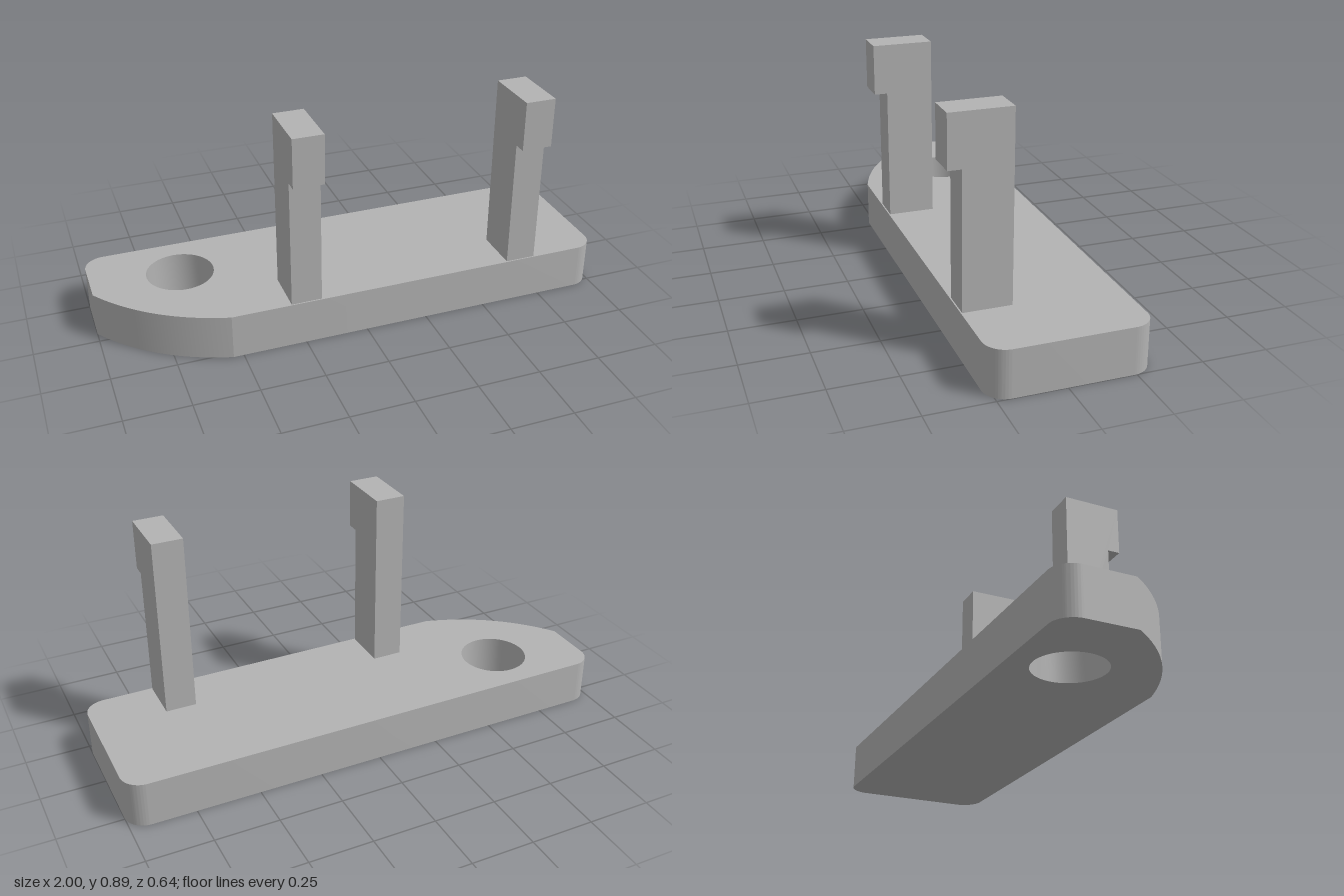
import * as THREE from 'three';
import { toCreasedNormals } from 'three/addons/utils/BufferGeometryUtils.js';

const BASE_HEIGHT = 0.18;

// Plate outline drawn with shape y = -z, then laid flat
function makeBase(material) {
  const back = 0.32, front = -0.275, r = 0.08;
  const s = new THREE.Shape();
  s.moveTo(-0.54, front);
  s.lineTo(1 - r, front);
  s.absarc(1 - r, front + r, r, -Math.PI / 2, 0);
  s.lineTo(1, back - r);
  s.absarc(1 - r, back - r, r, 0, Math.PI / 2);
  s.lineTo(-1 + r, back);
  s.absarc(-1 + r, back - r, r, Math.PI / 2, Math.PI);
  s.lineTo(-1, 0.05);
  // Bowed front corner
  s.quadraticCurveTo(-0.83, -0.196, -0.54, front);

  const hole = new THREE.Path();
  hole.absarc(-0.65, 0.102, 0.133, 0, Math.PI * 2, true);
  s.holes.push(hole);

  const geo = new THREE.ExtrudeGeometry(s, { depth: BASE_HEIGHT, bevelEnabled: false, curveSegments: 24 });
  geo.rotateX(-Math.PI / 2);
  const mesh = new THREE.Mesh(toCreasedNormals(geo, 0.2), material);
  mesh.name = 'basePlate';
  return mesh;
}

// Upright post with a forward hook, drawn as a side profile (z, y)
function makeClipGeometry() {
  const width = 0.12;
  const profile = [[0.088, BASE_HEIGHT], [0.27, BASE_HEIGHT], [0.27, 0.695], [0.32, 0.695], [0.32, 0.89], [0.088, 0.89]];
  const s = new THREE.Shape(profile.map(([z, y]) => new THREE.Vector2(z, y)));
  const geo = new THREE.ExtrudeGeometry(s, { depth: width, bevelEnabled: false });
  geo.rotateY(-Math.PI / 2);
  geo.translate(width / 2, 0, 0);
  return geo;
}

export function createModel() {
  const group = new THREE.Group();
  group.name = 'clipBracket';
  const grey = new THREE.MeshStandardMaterial({ color: 0xb3b3b3 });
  grey.name = 'grey';

  group.add(makeBase(grey));

  const clipGeo = makeClipGeometry();
  for (const [name, x] of [['rightClip', -0.245], ['leftClip', 0.66]]) {
    const clip = new THREE.Mesh(clipGeo, grey);
    clip.name = name;
    clip.position.x = x;
    group.add(clip);
  }
  return group;
}
